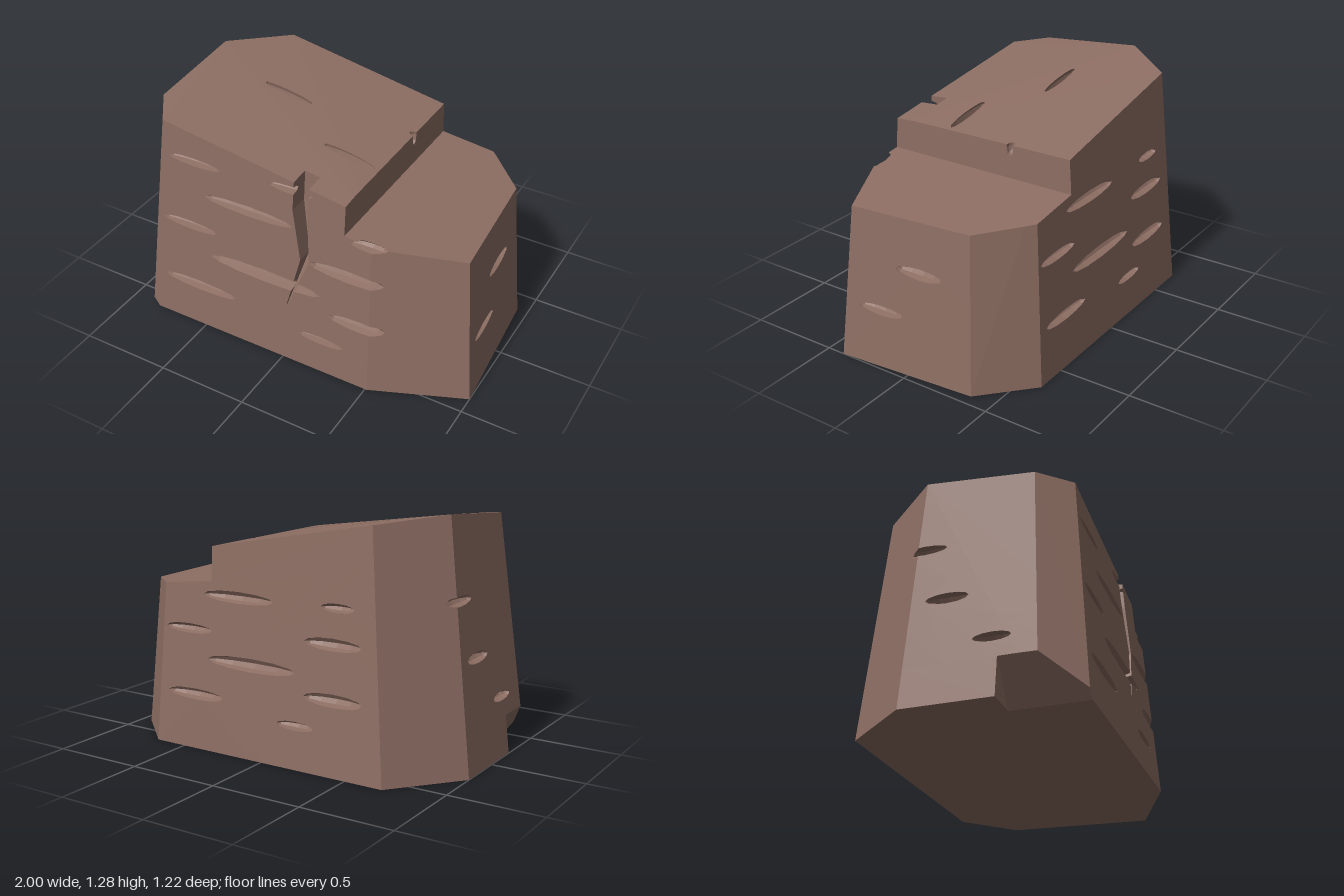
import * as THREE from 'three';
import { ConvexGeometry } from 'three/addons/geometries/ConvexGeometry.js';

const EPS = 1e-6;
const v = (x, y, z) => new THREE.Vector3(x, y, z);

// Convex solid as a list of triangles, each with its plane
function solid(geometry) {
  const g = geometry.index ? geometry.toNonIndexed() : geometry;
  const pos = g.attributes.position, faces = [];
  for (let i = 0; i < pos.count; i += 3) {
    const points = [0, 1, 2].map(k => v().fromBufferAttribute(pos, i + k));
    const t = new THREE.Triangle(...points);
    if (t.getArea() > 1e-8) faces.push({ points, plane: t.getPlane(new THREE.Plane()) });
  }
  return faces;
}
const hull = points => solid(new ConvexGeometry(points));

// Split a polygon into the parts in front of and behind a plane
function split(points, plane) {
  const front = [], back = [];
  const dist = points.map(p => {
    const d = plane.distanceToPoint(p);
    return Math.abs(d) < EPS ? 0 : d;
  });
  points.forEach((p, i) => {
    const j = (i + 1) % points.length, a = dist[i], b = dist[j];
    if (a >= 0) front.push(p);
    if (a <= 0) back.push(p);
    if (a * b < 0) {
      const m = p.clone().lerp(points[j], a / (a - b));
      front.push(m);
      back.push(m);
    }
  });
  return {
    front: dist.some(d => d > 0) ? front : null,
    back: dist.some(d => d < 0) || dist.every(d => d === 0) ? back : null,
  };
}

// Part of a polygon inside a convex solid
function inside(points, faces) {
  for (const f of faces) {
    points = split(points, f.plane).back;
    if (!points) return null;
  }
  return points;
}

// Parts of a polygon outside a convex solid
function outside(points, faces) {
  const kept = [];
  let rest = points;
  for (const f of faces) {
    const s = split(rest, f.plane);
    if (s.front) kept.push(s.front);
    if (!s.back) return [points];
    rest = s.back;
  }
  return kept;
}

function meshOf(polygons, material, name) {
  const pos = [];
  for (const p of polygons)
    for (let i = 1; i < p.length - 1; i++)
      for (const q of [p[0], p[i], p[i + 1]]) pos.push(q.x, q.y, q.z);
  const g = new THREE.BufferGeometry();
  g.setAttribute('position', new THREE.Float32BufferAttribute(pos, 3));
  g.computeVertexNormals();
  const mesh = new THREE.Mesh(g, material);
  mesh.name = name;
  return mesh;
}

// Faceted lens-shaped pit, long along x or z
function pit(x, y, z, long, height, depth, axis = 'x', tilt = 0) {
  const g = new THREE.SphereGeometry(1, 8, 6);
  g.rotateZ(-Math.PI / 2);
  g.scale(long, height, depth);
  if (axis === 'z') g.rotateY(Math.PI / 2);
  g.rotateZ(tilt);
  g.translate(x, y, z);
  return solid(g);
}

export function createModel() {
  const stone = new THREE.MeshStandardMaterial({ color: 0x8d6e63, flatShading: true });
  stone.name = 'brown stone';

  // Tapered eight-sided block with a sloping top
  const block = hull([
    v(-0.86, 0, 0.605), v(0.51, 0, 0.605), v(1, 0, 0.4), v(0.94, 0, -0.37),
    v(0.68, 0, -0.61), v(-0.71, 0, -0.61), v(-1, 0, -0.26), v(-1, 0, 0.41),
    v(-0.73, 1.21, 0.52), v(0.486, 1.04, 0.532), v(0.907, 0.96, 0.342), v(0.859, 0.965, -0.324),
    v(0.633, 1.02, -0.541), v(-0.6, 1.25, -0.527), v(-0.85, 1.285, -0.22), v(-0.85, 1.235, 0.35),
  ]);

  const cuts = [];
  const cut = (name, faces) => cuts.push({ name, faces });

  // Lowered shelf at one end
  const shelf = [];
  for (const z of [-1, 1])
    shelf.push(v(0.34, 0.895, z), v(1.4, 0.768, z), v(1.4, 1.6, z), v(0.34, 1.6, z));
  cut('shelf', hull(shelf));

  // Chipped lower corner
  const chip = [];
  for (const z of [0.21, 0.9])
    chip.push(v(-0.744, -0.1, z), v(-1.06, 0.315, z), v(-1.3, -0.1, z));
  cut('cornerChip', hull(chip));

  // Crack running down the front: y, left edge, right edge, back
  const crack = [[1.4, 0.06, 0.148, 0.41], [0.94, 0.045, 0.13, 0.43],
    [0.66, 0.095, 0.145, 0.47], [0.35, 0.018, 0.022, 0.57]];
  for (let i = 0; i < 3; i++) {
    const pts = [];
    for (const [y, a, b, z] of [crack[i], crack[i + 1]])
      pts.push(v(a, y, z), v(b, y, z), v(a, y, 0.8), v(b, y, 0.8));
    cut('crack', hull(pts));
  }

  // Front pits: x, y, half length, half height
  for (const [x, y, l, h] of [
    [-0.545, 1.02, 0.16, 0.023], [-0.22, 0.84, 0.265, 0.031], [-0.585, 0.63, 0.172, 0.026],
    [-0.12, 0.48, 0.335, 0.039], [-0.53, 0.255, 0.23, 0.031], [0.37, 0.66, 0.225, 0.037],
    [0.445, 0.38, 0.18, 0.035], [0.225, 0.2, 0.135, 0.023], [0.03, 1.05, 0.13, 0.022],
    [0.48, 0.87, 0.115, 0.023],
  ]) cut('frontPits', pit(x, y, 0.605 - 0.07 * y, l, h, 0.05));

  // Back pits
  for (const [x, y, l, h] of [
    [0.17, 0.826, 0.22, 0.031], [0.48, 0.635, 0.15, 0.026], [-0.425, 0.84, 0.095, 0.023],
    [0.08, 0.49, 0.275, 0.036], [-0.405, 0.66, 0.165, 0.032], [-0.415, 0.385, 0.17, 0.034],
    [0.43, 0.29, 0.18, 0.03], [-0.2, 0.224, 0.11, 0.023],
  ]) cut('backPits', pit(x, y, -0.61 + 0.067 * y, l, h, 0.05));

  // Side pits
  for (const [x, y, z, l, h] of [
    [0.915, 0.56, -0.05, 0.137, 0.031], [0.955, 0.31, 0.17, 0.137, 0.027],
    [-0.934, 0.565, -0.06, 0.11, 0.03], [-0.963, 0.314, 0.177, 0.095, 0.026],
    [-0.9, 0.866, -0.2, 0.12, 0.026],
  ]) cut('sidePits', pit(x, y, z, l, h, 0.05, 'z'));

  // Top pits and the nick in the shelf edge
  cut('topPits', pit(-0.34, 1.176, -0.05, 0.16, 0.05, 0.026, 'x', -0.16));
  cut('topPits', pit(0.165, 1.092, 0.195, 0.155, 0.05, 0.027, 'x', -0.15));
  cut('edgeNick', pit(0.34, 1.06, -0.19, 0.03, 0.05, 0.021));

  // Carve: outer skin first, then the inner walls of every cut
  const group = new THREE.Group();
  group.name = 'rock';
  const carve = (polys, skip) => cuts.reduce(
    (list, c) => c === skip ? list : list.flatMap(p => outside(p, c.faces)), polys);
  group.add(meshOf(carve(block.map(f => f.points)), stone, 'block'));

  const walls = {};
  for (const c of cuts) {
    const polys = c.faces.map(f => inside(f.points, block)).filter(Boolean);
    const flipped = carve(polys, c).map(p => [...p].reverse());
    (walls[c.name] ??= []).push(...flipped);
  }
  for (const name in walls) group.add(meshOf(walls[name], stone, name));
  return group;
}
